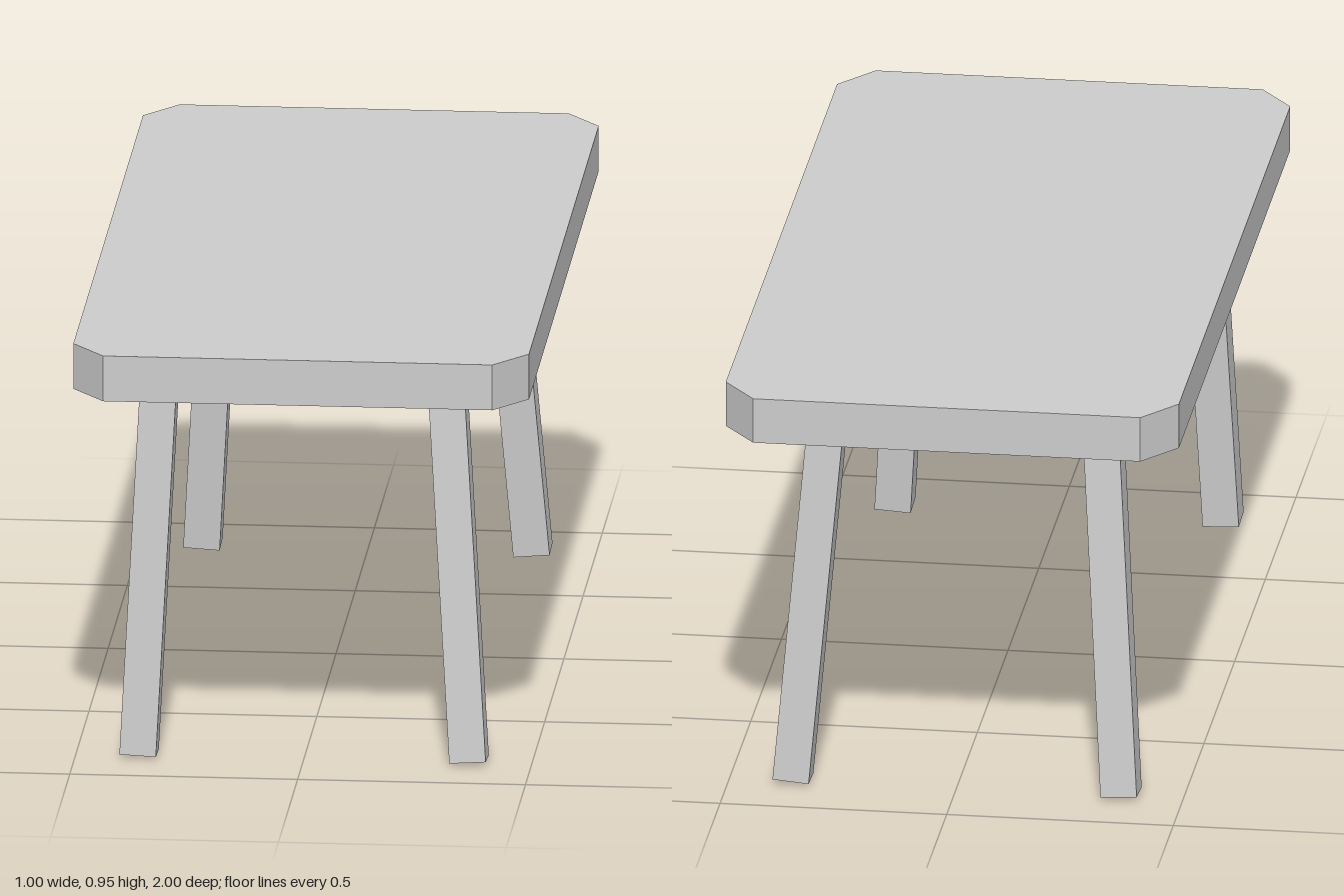
import * as THREE from 'three';

const material = new THREE.MeshStandardMaterial({ color: 0xcccccc, flatShading: true });

// Slab with cut corners, lying between y = 0.85 and y = 0.953
function makeTableTop() {
  const x = 0.5, z = 1, cutX = 0.427, cutZ = 0.907;
  const outline = new THREE.Shape([
    [cutX, -z], [x, -cutZ], [x, cutZ], [cutX, z],
    [-cutX, z], [-x, cutZ], [-x, -cutZ], [-cutX, -z],
  ].map(([px, py]) => new THREE.Vector2(px, py)));
  const geometry = new THREE.ExtrudeGeometry(outline, { depth: 0.103, bevelEnabled: false });
  geometry.rotateX(-Math.PI / 2);
  geometry.translate(0, 0.85, 0);
  const top = new THREE.Mesh(geometry, material);
  top.name = 'tableTop';
  return top;
}

// Square leg running from its foot up to where it meets the slab
function makeLeg(name, foot, head) {
  const axis = head.clone().sub(foot);
  const length = axis.length() + 0.02; // sinks slightly into the slab
  const geometry = new THREE.BoxGeometry(0.08, length, 0.08);
  geometry.translate(0, length / 2, 0);
  const leg = new THREE.Mesh(geometry, material);
  leg.quaternion.setFromUnitVectors(new THREE.Vector3(0, 1, 0), axis.normalize());
  leg.position.copy(foot);
  leg.name = name;
  return leg;
}

export function createModel() {
  const table = new THREE.Group();
  table.name = 'table';
  table.add(makeTableTop());

  // Each leg splays outward by a slightly different amount
  const legs = [
    ['frontLeftLeg', 1, 1, 0.308, 0.757],
    ['frontRightLeg', -1, 1, 0.32, 0.784],
    ['backLeftLeg', 1, -1, 0.29, 0.778],
    ['backRightLeg', -1, -1, 0.312, 0.757],
  ];
  for (const [name, sx, sz, headX, headZ] of legs) {
    const foot = new THREE.Vector3(sx * 0.362, 0.006, sz * 0.832);
    const head = new THREE.Vector3(sx * headX, 0.85, sz * headZ);
    table.add(makeLeg(name, foot, head));
  }
  return table;
}
